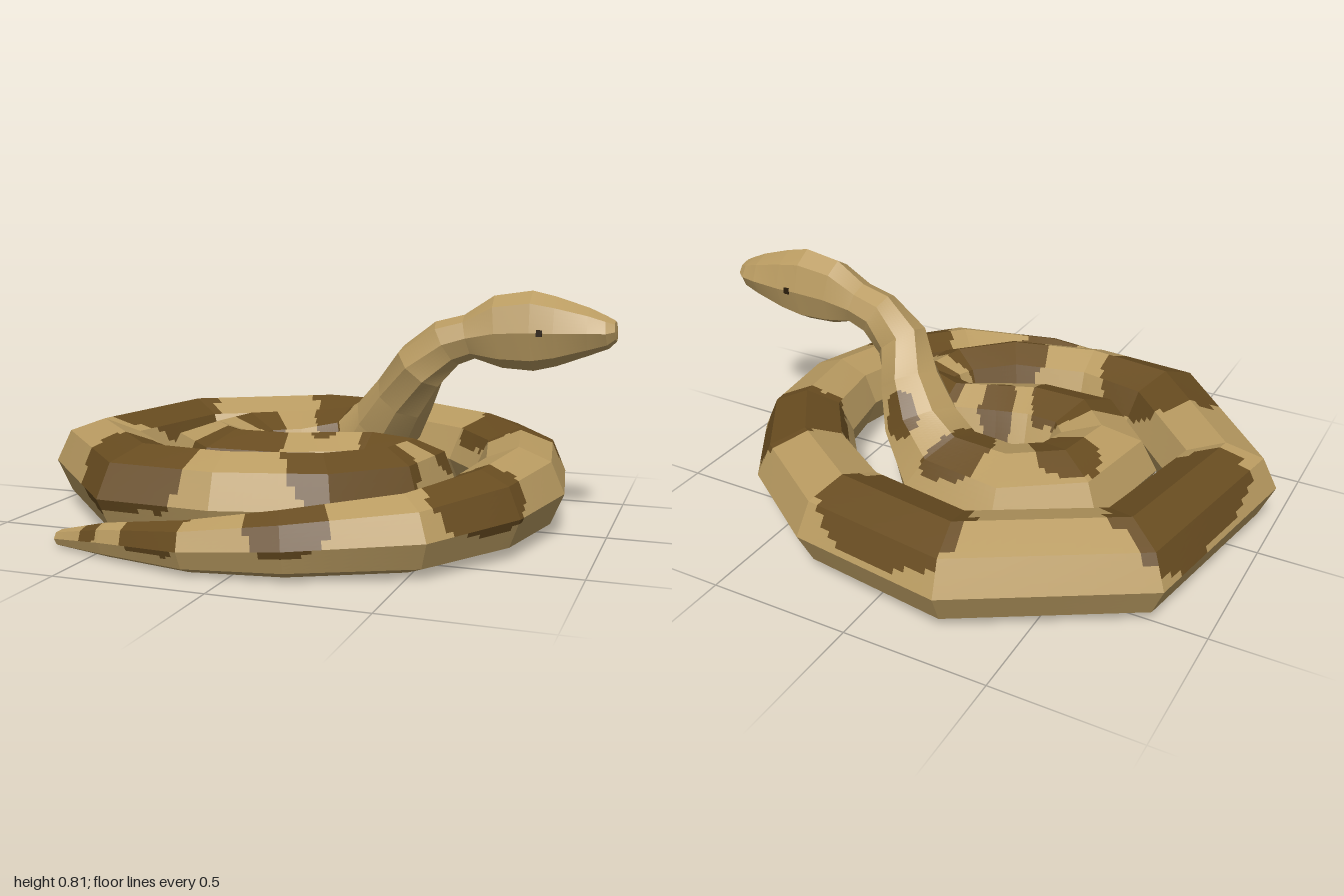
import * as THREE from 'three';

// Coil seen from above, tail tip first: x, z, half width
const COIL = [
  [-0.71, 0.59, 0.012], [-0.65, 0.70, 0.03], [-0.45, 0.76, 0.045], [-0.14, 0.825, 0.075],
  [0.15, 0.78, 0.092], [0.48, 0.61, 0.135], [0.65, 0.34, 0.145], [0.71, 0.05, 0.155],
  [0.66, -0.24, 0.165], [0.5, -0.47, 0.178], [0.215, -0.66, 0.188], [-0.23, -0.725, 0.188],
  [-0.71, -0.44, 0.19], [-0.82, 0.12, 0.184], [-0.45, 0.515, 0.185], [-0.14, 0.55, 0.15],
  [0.165, 0.47, 0.147], [0.33, 0.31, 0.142], [0.37, 0.13, 0.148], [0.2, 0.06, 0.14],
  [0.05, 0.12, 0.15], [-0.08, 0.17, 0.17], [-0.27, 0.17, 0.19], [-0.4, 0.03, 0.2],
  [-0.36, -0.18, 0.205], [-0.18, -0.3, 0.2],
];

// Neck and head seen from the side: x, y, half width, half height
const NECK = [
  [0.06, 0.21, 0.175, 0.155], [0.17, 0.32, 0.14, 0.125], [0.25, 0.43, 0.11, 0.11],
  [0.325, 0.545, 0.092, 0.1], [0.42, 0.63, 0.08, 0.085], [0.5, 0.655, 0.076, 0.078],
  [0.6, 0.675, 0.084, 0.125], [0.72, 0.682, 0.09, 0.137], [0.8, 0.682, 0.09, 0.118],
  [0.91, 0.685, 0.083, 0.08], [0.97, 0.685, 0.07, 0.055], [0.997, 0.69, 0.05, 0.035],
  [1, 0.69, 0.001, 0.001],
];

// Dark blotches: place along the body, half length, angle from the top, half angle
const BLOTCHES = [
  [1.75, 0.2, 0.3, 1.4], [2.65, 0.38, 0.5, 1.4], [4, 0.35, 0.4, 1.4], [5.7, 0.52, 0.4, 1.4],
  [8.45, 0.6, 0.2, 1.4], [10.55, 0.53, -0.2, 1.6], [12.4, 0.5, 0.1, 1.4], [14.15, 0.6, 0.2, 1.7],
  [16.45, 0.85, 0, 1.7], [18.45, 0.75, 0.1, 1.5], [20.1, 0.4, 0.7, 0.9], [21.7, 0.75, -0.4, 1.4],
  [24, 0.5, 0.2, 0.9], [25.75, 0.42, 0, 1.1], [27.2, 0.5, -0.9, 0.5],
];
const SIDES = 8, ALONG = 14, AROUND = 6, HEAD_Z = -0.1;

// The coil thickens from the tail and rests on the ground; the neck leans in as it rises
function crossSections() {
  const coil = COIL.map(([x, z, width], i) => {
    const height = Math.max(0.012, 0.16 * Math.sin(Math.min(1, i / 9) * Math.PI / 2));
    return { centre: new THREE.Vector3(x, height + 0.008, z), width, height };
  });
  const neck = NECK.map(([x, y, width, height]) => ({
    centre: new THREE.Vector3(x, y, HEAD_Z - 0.58 * Math.max(0, 0.55 - y)), width, height,
  }));
  return [...coil, ...neck];
}

// Corner points of every cross-section, square to the path
function ringCorners() {
  const sections = crossSections();
  const last = sections.length - 1, vertical = new THREE.Vector3(0, 1, 0);
  return sections.map(({ centre, width, height }, i) => {
    const before = centre.clone().sub(sections[Math.max(i - 1, 0)].centre).normalize();
    const after = sections[Math.min(i + 1, last)].centre.clone().sub(centre).normalize();
    const along = before.add(after).normalize();
    const right = along.clone().cross(vertical).normalize();
    const up = right.clone().cross(along);
    return Array.from({ length: SIDES + 1 }, (_, j) => {
      const a = -Math.PI + j * 2 * Math.PI / SIDES;
      return centre.clone().addScaledVector(right, Math.sin(a) * width)
        .addScaledVector(up, Math.cos(a) * height);
    });
  });
}

// Squarish ellipse test with a wobbling outline
function isDark(u, a) {
  const wobble = 0.13 * Math.sin(7 * u + 3 * a) + 0.08 * Math.sin(17 * u - 8 * a);
  return BLOTCHES.some(([cu, ru, ca, ra]) =>
    Math.abs((u - cu) / ru) ** 3 + Math.abs((a - ca) / ra) ** 3 < 1 + wobble);
}

function makeMaterial(name, color) {
  const material = new THREE.MeshStandardMaterial({ color });
  material.name = name;
  return material;
}

function facetedMesh(name, points, material) {
  const geometry = new THREE.BufferGeometry().setFromPoints(points);
  geometry.computeVertexNormals();
  const mesh = new THREE.Mesh(geometry, material);
  mesh.name = name;
  return mesh;
}

export function createModel() {
  const group = new THREE.Group();
  group.name = 'coiledSnake';
  const tan = makeMaterial('tanSkin', 0xb99b61);
  const brown = makeMaterial('brownBlotch', 0x684c20);
  const dark = makeMaterial('eyeDark', 0x2a1d0c);

  // Faceted skin, cut into small cells so blotches are separate faces
  const corners = ringCorners(), skin = [], blotches = [];
  for (let i = 0; i < corners.length - 1; i++) {
    for (let j = 0; j < SIDES; j++) {
      const at = (s, v) => corners[i][j].clone().lerp(corners[i][j + 1], v)
        .lerp(corners[i + 1][j].clone().lerp(corners[i + 1][j + 1], v), s);
      for (let p = 0; p < ALONG; p++) {
        for (let q = 0; q < AROUND; q++) {
          const s0 = p / ALONG, s1 = (p + 1) / ALONG, v0 = q / AROUND, v1 = (q + 1) / AROUND;
          const angle = -Math.PI + (j + (v0 + v1) / 2) * 2 * Math.PI / SIDES;
          const target = isDark(i + (s0 + s1) / 2, angle) ? blotches : skin;
          const a = at(s0, v0), b = at(s0, v1), c = at(s1, v1), d = at(s1, v0);
          target.push(a, b, d, b, c, d);
        }
      }
    }
  }
  group.add(facetedMesh('body', skin, tan), facetedMesh('blotches', blotches, brown));

  // Small eyes on both sides of the head
  for (const side of [-1, 1]) {
    const eye = new THREE.Mesh(new THREE.BoxGeometry(0.02, 0.022, 0.008), dark);
    eye.name = side > 0 ? 'rightEye' : 'leftEye';
    eye.position.set(0.755, 0.682, HEAD_Z + side * 0.089);
    group.add(eye);
  }
  return group;
}
